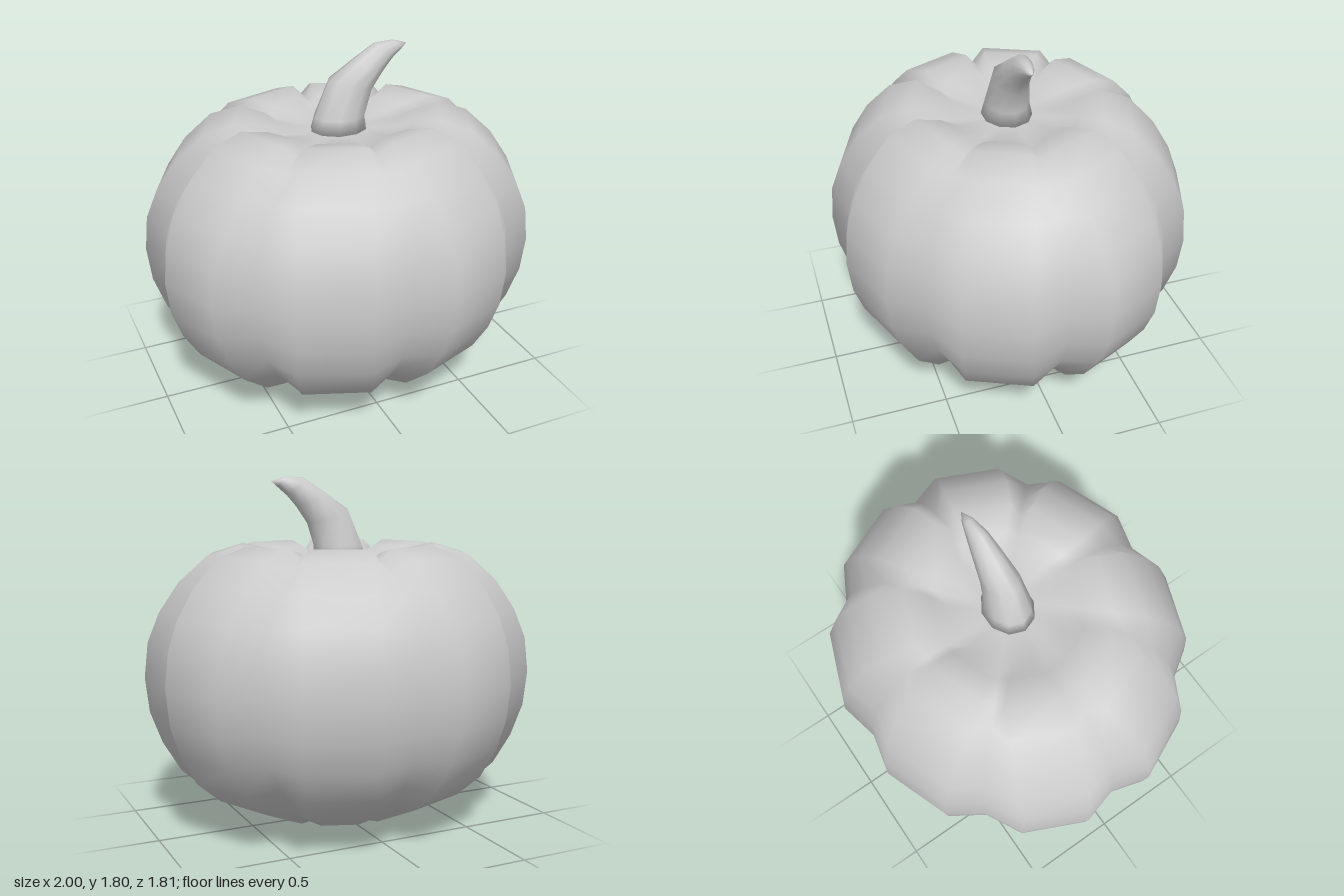
import * as THREE from 'three';

// Smooth skin over closed rings of points (listed bottom to top), with a pole at each end.
function loft(rings, bottom, top) {
  const n = rings[0].length, pos = [], idx = [];
  rings.forEach(r => r.forEach(p => pos.push(...p)));
  const b = rings.length * n, t = b + 1, last = (rings.length - 1) * n;
  pos.push(...bottom, ...top);
  for (let j = 0; j < n; j++) {
    const k = (j + 1) % n;
    idx.push(b, j, k, t, last + k, last + j);
    for (let i = 0; i < rings.length - 1; i++) {
      const o = i * n, u = o + n;
      idx.push(o + j, u + j, o + k, o + k, u + j, u + k);
    }
  }
  const g = new THREE.BufferGeometry();
  g.setAttribute('position', new THREE.Float32BufferAttribute(pos, 3));
  g.setIndex(idx);
  g.computeVertexNormals();
  return g;
}

export function createModel() {
  const group = new THREE.Group();
  const mat = new THREE.MeshStandardMaterial({ color: 0xcccccc, side: THREE.DoubleSide });

  // Body profile: ridge radius, ridge height, valley radius, valley height, ridge offset from valley (degrees)
  const profile = [
    [0.20, 0.02, 0.20, 0.02, 13],
    [0.39, 0.05, 0.37, 0.07, 8],
    [0.71, 0.19, 0.62, 0.22, 8],
    [0.85, 0.31, 0.77, 0.335, 10],
    [0.94, 0.46, 0.87, 0.475, 11],
    [1.00, 0.62, 0.925, 0.63, 12],
    [1.02, 0.80, 0.945, 0.80, 12],
    [1.00, 0.98, 0.925, 0.97, 12],
    [0.94, 1.13, 0.87, 1.115, 11],
    [0.84, 1.28, 0.77, 1.25, 10],
    [0.70, 1.41, 0.63, 1.36, 8],
    [0.54, 1.46, 0.50, 1.40, 6],
    [0.40, 1.435, 0.39, 1.395, 8],
    [0.30, 1.395, 0.30, 1.385, 13],
    [0.16, 1.38, 0.16, 1.38, 15],
  ];
  // Eight lobes: each has a valley and two ridge corners; the body is narrower in depth
  const bodyRings = profile.map(([rr, ry, vr, vy, off]) => {
    const ring = [];
    for (let lobe = 0; lobe < 8; lobe++) {
      for (const [deg, r, y] of [[0, vr, vy], [off, rr, ry], [45 - off, rr, ry]]) {
        const a = THREE.MathUtils.degToRad(lobe * 45 + deg);
        ring.push([r * Math.cos(a), y, 0.905 * r * Math.sin(a)]);
      }
    }
    return ring;
  });
  const body = new THREE.Mesh(loft(bodyRings, [0, 0, 0], [0, 1.375, 0]), mat);
  body.name = 'body';
  group.add(body);

  // Curved stem sections: left x, y, right x, y, half depth
  const sections = [
    [-0.15, 1.37, 0.15, 1.37, 0.13],
    [-0.13, 1.45, 0.14, 1.45, 0.11],
    [-0.05, 1.64, 0.18, 1.57, 0.09],
    [0.08, 1.725, 0.24, 1.655, 0.07],
    [0.20, 1.80, 0.29, 1.71, 0.05],
    [0.30, 1.805, 0.345, 1.755, 0.027],
  ];
  const stemRings = sections.map(([lx, ly, rx, ry, w]) =>
    Array.from({ length: 10 }, (_, j) => {
      const a = j / 10 * Math.PI * 2, c = Math.cos(a) / 2;
      return [(lx + rx) / 2 + (rx - lx) * c, (ly + ry) / 2 + (ry - ly) * c, w * Math.sin(a)];
    }));
  const stem = new THREE.Mesh(loft(stemRings, [0, 1.36, 0], [0.375, 1.78, 0]), mat);
  stem.name = 'stem';
  group.add(stem);

  return group;
}
